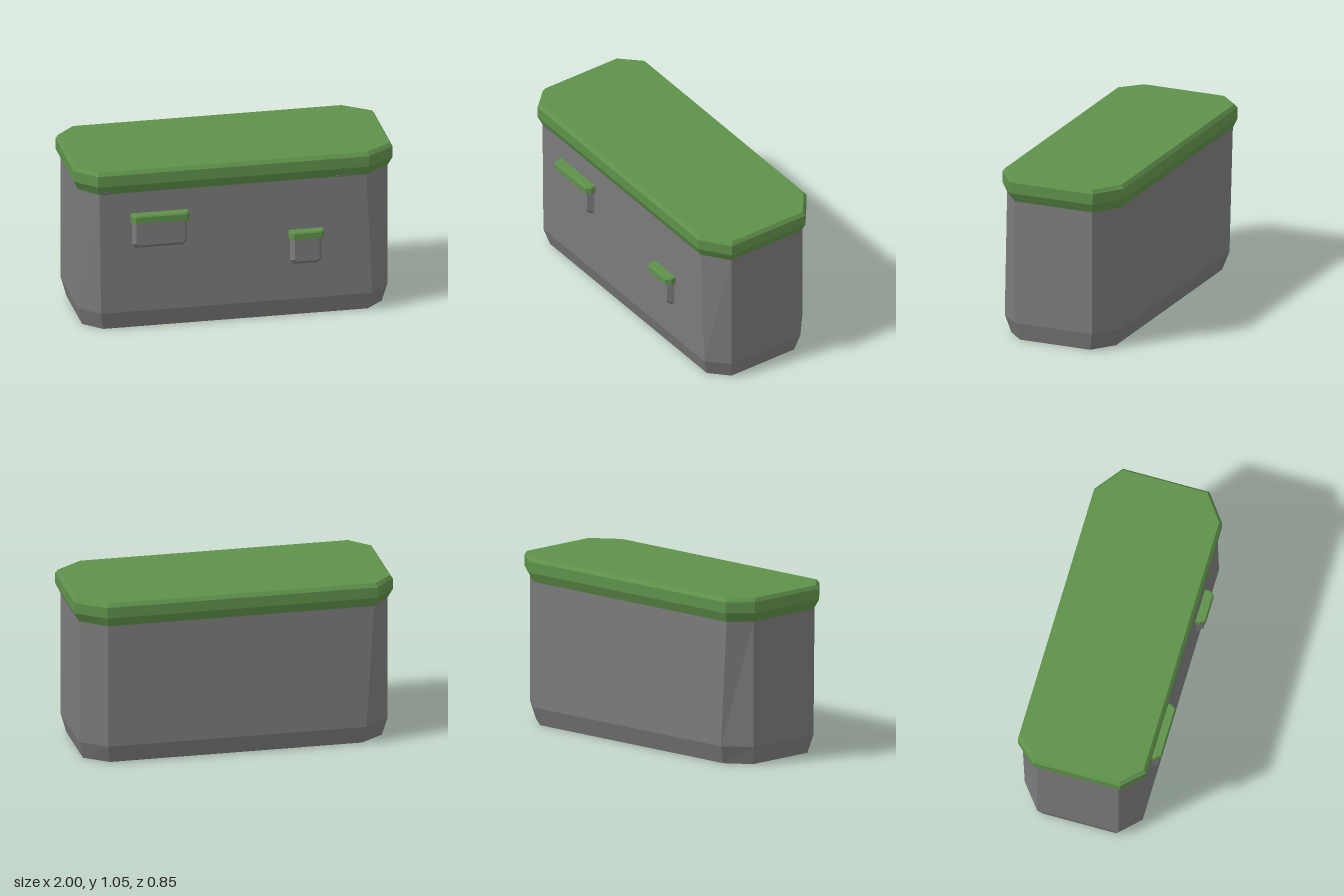
import * as THREE from 'three';

const grey = new THREE.MeshStandardMaterial({ color: 0x7b7b7b, flatShading: true, side: THREE.DoubleSide });
grey.name = 'grey plastic';
const green = new THREE.MeshStandardMaterial({ color: 0x5f914b, flatShading: true, side: THREE.DoubleSide });
green.name = 'green plastic';

// Joins equal-length rings of [x, y, z] with flat faces, and optionally closes the ends.
function loft(rings, capStart, capEnd) {
  const pos = [];
  const tri = (a, b, c) => pos.push(...a, ...b, ...c);
  const n = rings[0].length;
  for (let r = 0; r < rings.length - 1; r++) {
    for (let i = 0; i < n; i++) {
      const j = (i + 1) % n;
      const lo = rings[r], hi = rings[r + 1];
      tri(lo[i], lo[j], hi[j]);
      tri(lo[i], hi[j], hi[i]);
    }
  }
  const first = rings[0], last = rings[rings.length - 1];
  for (let i = 1; i < n - 1; i++) {
    if (capStart) tri(first[0], first[i + 1], first[i]);
    if (capEnd) tri(last[0], last[i], last[i + 1]);
  }
  const g = new THREE.BufferGeometry();
  g.setAttribute('position', new THREE.Float32BufferAttribute(pos, 3));
  g.computeVertexNormals();
  return g;
}

function part(name, geometry, material) {
  const m = new THREE.Mesh(geometry, material);
  m.name = name;
  return m;
}

// Eight-sided outline: half length, front and back z, side z limits, and the x of each long-side corner.
function octagon(y, half, zf, zb, sf, sb, fl, fr, bl, br) {
  return [[fl, y, zf], [fr, y, zf], [half, y, sf], [half, y, sb],
    [br, y, zb], [bl, y, zb], [-half, y, sb], [-half, y, sf]];
}

// Small front pocket with chamfered sides and a green lip.
function pocket(name, x0, x1, y0, y1) {
  const group = new THREE.Group();
  group.name = name;
  const outline = (z, dx, dy) => {
    const a = x0 + dx, b = x1 - dx, y = y0 + dy, c = dx ? 0.012 : 0.025;
    return [[a, y1, z], [a, y + c, z], [a + c, y, z], [b - c, y, z], [b, y + c, z], [b, y1, z]];
  };
  group.add(part('pocketBody', loft([outline(0.36, 0, 0), outline(0.405, 0.024, 0.035)], false, true), grey));
  const lipRing = (y, d) => {
    const a = x0 - 0.008 + d, b = x1 + 0.008 - d, f = 0.425 - d;
    return [[a, y, 0.36], [a, y, 0.395], [a + 0.022, y, f], [b - 0.022, y, f], [b, y, 0.395], [b, y, 0.36]];
  };
  group.add(part('pocketLip', loft([lipRing(y1 - 0.003, 0), lipRing(y1 + 0.036, 0), lipRing(y1 + 0.045, 0.006)], true, true), green));
  return group;
}

export function createModel() {
  const model = new THREE.Group();
  model.name = 'planterBox';

  // Tapered shell, open underneath
  model.add(part('body', loft([
    octagon(0, 0.94, 0.33, -0.36, 0.222, -0.25, -0.83, 0.83, -0.79, 0.795),
    octagon(0.115, 0.97, 0.365, -0.40, 0.245, -0.275, -0.85, 0.85, -0.81, 0.815),
    octagon(0.905, 0.97, 0.365, -0.40, 0.245, -0.275, -0.86, 0.815, -0.86, 0.815),
  ], false, false), grey));

  // Overhanging lid with bevelled rim
  model.add(part('lid', loft([
    octagon(0.903, 0.97, 0.365, -0.40, 0.245, -0.275, -0.86, 0.815, -0.86, 0.815),
    octagon(0.963, 1, 0.392, -0.425, 0.262, -0.292, -0.876, 0.826, -0.876, 0.826),
    octagon(1.032, 1, 0.392, -0.425, 0.262, -0.292, -0.876, 0.826, -0.876, 0.826),
    octagon(1.055, 0.985, 0.375, -0.408, 0.252, -0.285, -0.866, 0.818, -0.866, 0.818),
  ], false, true), green));

  // Small notches under the lid, following the slope of the rim
  for (const [x, w, h] of [[-0.815, 0.035, 0.022], [0.655, 0.045, 0.013]]) {
    const at = (dx, k) => [x + dx * w, 0.902 + k * h, 0.368 + k * h * 0.45];
    model.add(part('lidNotch', loft([
      [at(-1, 0), at(1, 0), at(0.6, 1), at(-0.6, 1)],
      [at(-1, 0), at(1, 0), at(0.6, 1), at(-0.6, 1)].map(([a, b, c]) => [a, b, c + 0.002]),
    ], false, true), grey));
  }

  // Front pockets
  model.add(pocket('widePocket', -0.659, -0.309, 0.53, 0.72));
  model.add(pocket('narrowPocket', 0.333, 0.537, 0.342, 0.53));

  return model;
}
